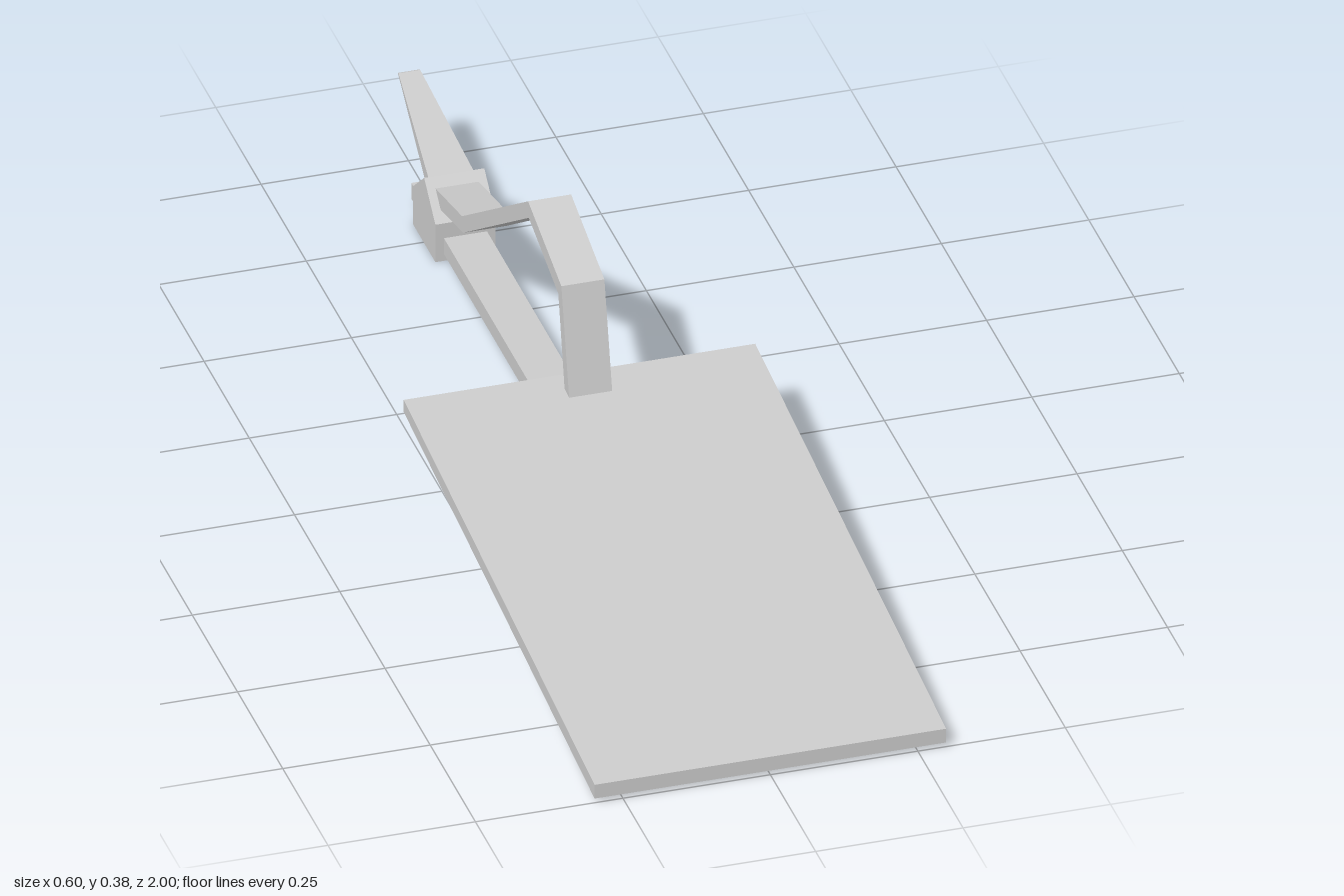
import * as THREE from 'three';

const material = new THREE.MeshStandardMaterial({ color: 0xcccccc, flatShading: true });

// Extrudes a side profile of [z, y] points across x, centred on x = 0
function sideProfile(name, points, width) {
  const shape = new THREE.Shape(points.map(([z, y]) => new THREE.Vector2(-z, y)));
  const geometry = new THREE.ExtrudeGeometry(shape, { depth: width, bevelEnabled: false });
  geometry.translate(0, 0, -width / 2);
  geometry.rotateY(Math.PI / 2);
  const mesh = new THREE.Mesh(geometry, material);
  mesh.name = name;
  return mesh;
}

export function createModel() {
  const model = new THREE.Group();
  model.name = 'model';
  const barWidth = 0.073;

  // Broad sloping plate
  model.add(sideProfile('plate', [
    [1, 0.008], [1, 0.034], [-0.055, 0.15], [-0.055, 0.127],
  ], 0.596));

  // Bent upper arm rising from the plate and falling to the clamp
  model.add(sideProfile('upperArm', [
    [0.008, 0.138], [-0.036, 0.33], [-0.22, 0.384], [-0.585, 0.143], [-0.755, 0.105],
    [-0.745, 0.077], [-0.579, 0.115], [-0.216, 0.355], [-0.053, 0.306], [-0.016, 0.135],
  ], barWidth));

  // Lower bar running under the plate back through the clamp
  model.add(sideProfile('lowerBar', [
    [0.018, 0.13], [0.008, 0.112], [-0.138, 0.013], [-0.865, 0.013],
    [-0.865, 0.043], [-0.147, 0.043], [-0.018, 0.132],
  ], barWidth));

  // Gabled clamp block
  model.add(sideProfile('clamp', [
    [-0.685, 0], [-0.81, 0], [-0.81, 0.071], [-0.747, 0.124], [-0.685, 0.071],
  ], 0.102));

  // Pointed tail, narrowing towards its tip
  const tail = sideProfile('tail', [
    [-0.745, 0.106], [-0.755, 0.078], [-1, 0.17], [-0.995, 0.172],
  ], 0.08);
  const position = tail.geometry.attributes.position;
  for (let i = 0; i < position.count; i++) {
    const t = (-0.745 - position.getZ(i)) / 0.255;
    position.setX(i, position.getX(i) * (1 - 0.55 * t));
  }
  tail.geometry.computeVertexNormals();
  model.add(tail);

  return model;
}
